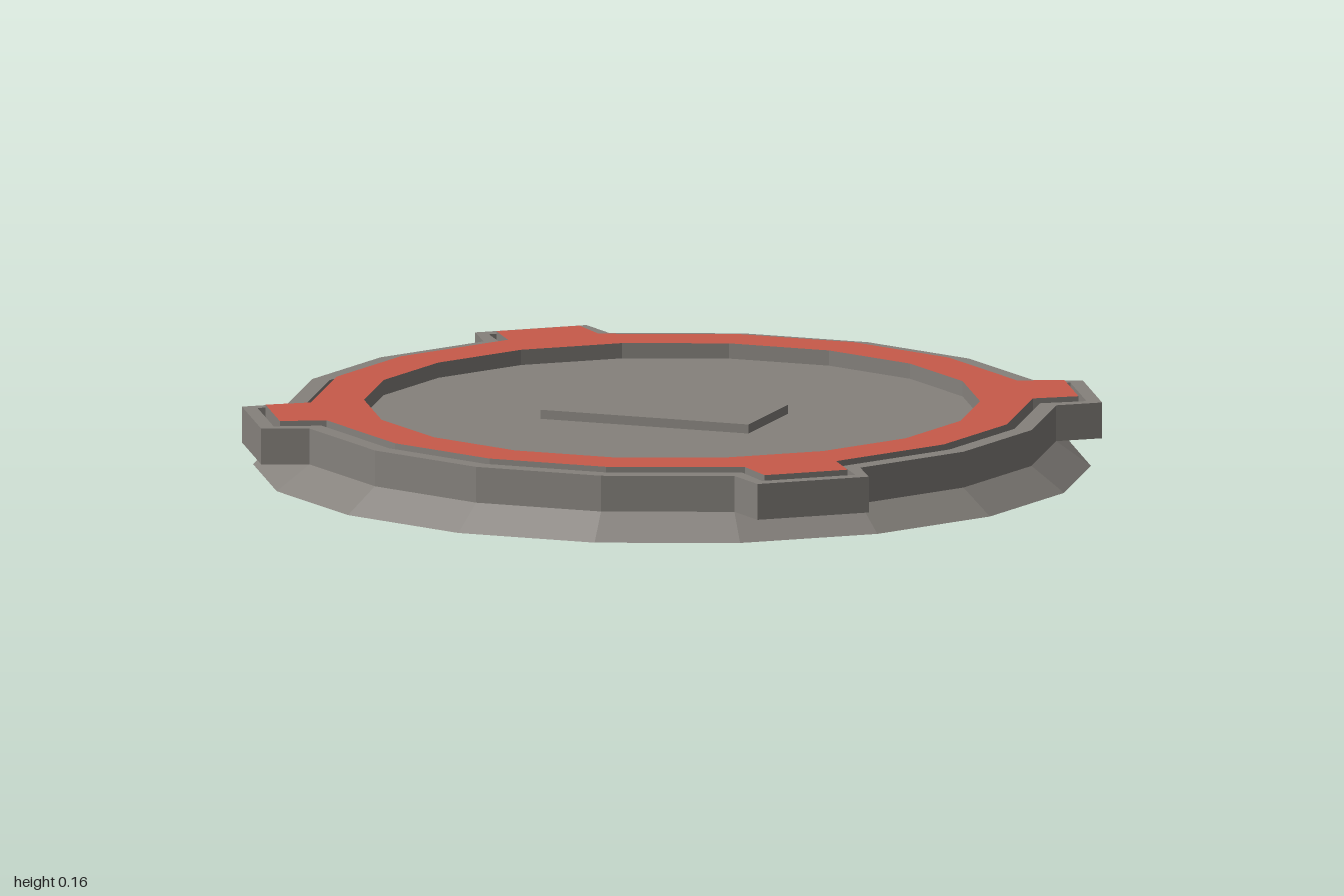
import * as THREE from 'three';

const SIDES = 18;
const STEP = (Math.PI * 2) / SIDES;
const TAB_ANGLES = [30, 130, 210, 310]; // degrees, on the middle of a side

// 18-sided outline; sides listed in TAB_ANGLES carry a projecting tab
function outline(radius, tab) {
  const points = [];
  const apothem = radius * Math.cos(STEP / 2);
  for (let i = 0; i < SIDES; i++) {
    const mid = (i + 0.5) * STEP;
    const hasTab = (deg) => tab && TAB_ANGLES.includes(Math.round(deg + 360) % 360);
    const deg = i * 20 + 10;
    if (hasTab(deg)) {
      const rootDist = (apothem - tab.root * Math.sin(STEP)) / Math.cos(STEP);
      const corners = [[rootDist, -tab.root], [tab.reach, -tab.tip], [tab.reach, tab.tip], [rootDist, tab.root]];
      for (const [d, t] of corners) {
        points.push(new THREE.Vector2(
          d * Math.cos(mid) - t * Math.sin(mid),
          d * Math.sin(mid) + t * Math.cos(mid)));
      }
    } else if (!hasTab(deg - 20)) {
      points.push(new THREE.Vector2(radius * Math.cos(i * STEP), radius * Math.sin(i * STEP)));
    }
  }
  return points;
}

// Upright plate between two heights, with an optional hole
function plate(name, points, hole, y0, y1, material) {
  const shape = new THREE.Shape(points);
  if (hole) shape.holes.push(new THREE.Path(hole));
  const geometry = new THREE.ExtrudeGeometry(shape, { depth: y1 - y0, bevelEnabled: false });
  geometry.rotateX(-Math.PI / 2).translate(0, y0, 0);
  const mesh = new THREE.Mesh(geometry, material);
  mesh.name = name;
  return mesh;
}

export function createModel() {
  const group = new THREE.Group();
  group.name = 'roundBase';

  const grey = new THREE.MeshStandardMaterial({ color: 0x85817c, flatShading: true, side: THREE.DoubleSide });
  grey.name = 'stone grey';
  const red = new THREE.MeshStandardMaterial({ color: 0xc85a4a, flatShading: true });
  red.name = 'brick red';

  const outer = outline(0.917, { root: 0.159, tip: 0.141, reach: 1.017 });
  const inner = outline(0.873, { root: 0.127, tip: 0.118, reach: 0.983 });
  const band = outline(0.855, { root: 0.115, tip: 0.105, reach: 0.966 });
  const opening = outline(0.735);

  // Flared skirt, open underneath
  const skirt = new THREE.Mesh(
    new THREE.CylinderGeometry(0.917, 1, 0.06, SIDES, 1, true).rotateY(Math.PI / 2).translate(0, 0.03, 0), grey);
  skirt.name = 'skirt';
  group.add(skirt);

  // Raised rim around a recessed floor
  group.add(plate('rim', outer, inner, 0.06, 0.147, grey));
  group.add(plate('floor', inner, null, 0.06, 0.12, grey));

  // Red-topped ring with grey edges, separated from the rim by a groove
  group.add(plate('colouredRing', band, opening, 0.12, 0.157, [red, grey]));

  // Rectangular block in the middle
  const block = new THREE.Mesh(new THREE.BoxGeometry(0.53, 0.022, 0.268), grey);
  block.name = 'centreBlock';
  block.position.set(-0.014, 0.131, 0.014);
  group.add(block);

  return group;
}
